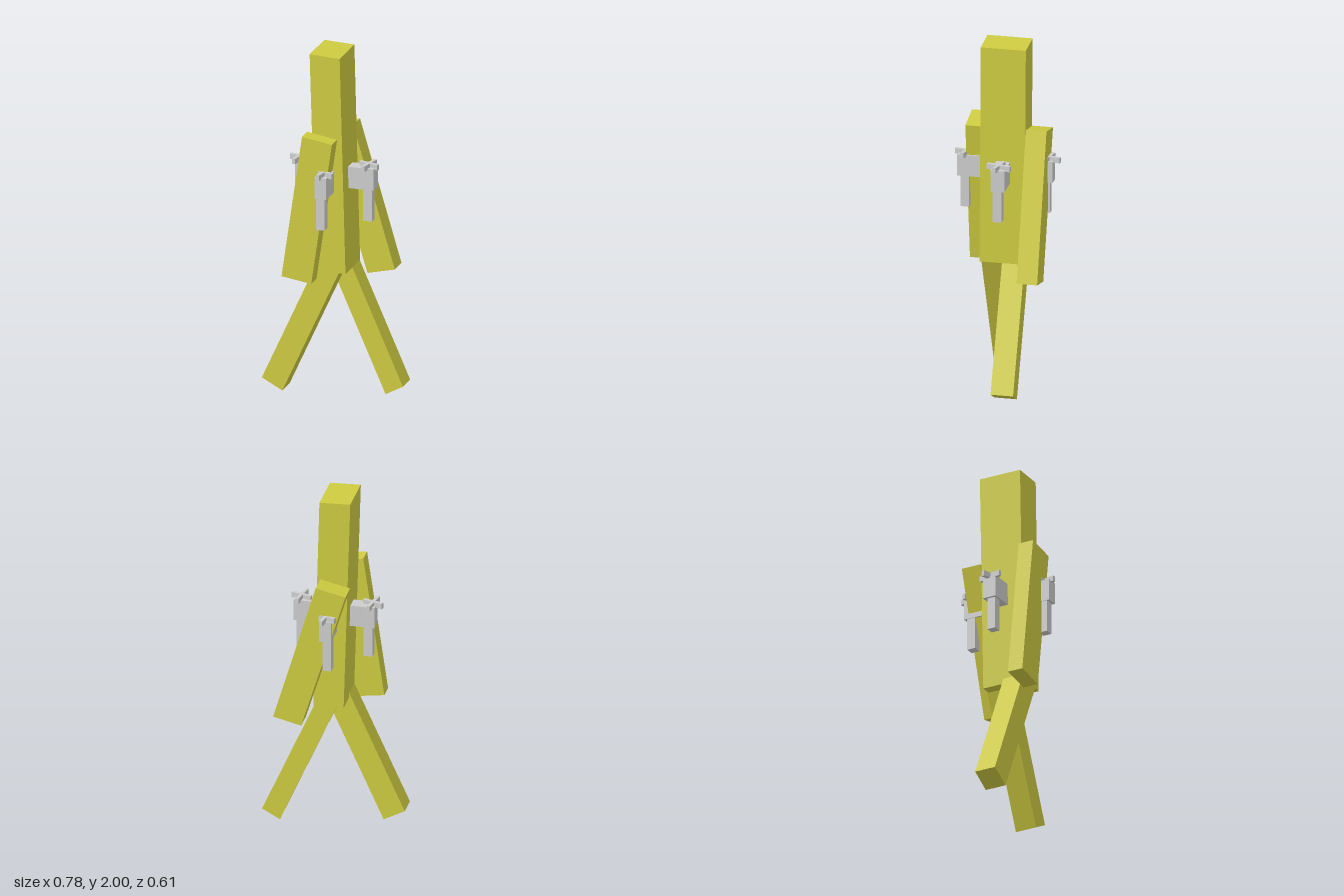
import * as THREE from 'three';

const yellow = new THREE.MeshStandardMaterial({ color: 0xcecb41 });
yellow.name = 'yellow';
const grey = new THREE.MeshStandardMaterial({ color: 0xcdcdcd });
grey.name = 'grey';

// Prism: an outline in the front plane, extruded from z0 to z1
function prism(name, corners, z0, z1) {
  const shape = new THREE.Shape(corners.map(([x, y]) => new THREE.Vector2(x, y)));
  const geometry = new THREE.ExtrudeGeometry(shape, { depth: z1 - z0, bevelEnabled: false });
  geometry.translate(0, 0, z0);
  const mesh = new THREE.Mesh(geometry, yellow);
  mesh.name = name;
  return mesh;
}

// Box given by its minimum and maximum corners
function box(name, [x0, y0, z0], [x1, y1, z1]) {
  const mesh = new THREE.Mesh(new THREE.BoxGeometry(x1 - x0, y1 - y0, z1 - z0), grey);
  mesh.position.set((x0 + x1) / 2, (y0 + y1) / 2, (z0 + z1) / 2);
  mesh.name = name;
  return mesh;
}

// Fitting: a block with a post below and a turned cross on top
function fitting(name, blockX, blockZ, postX, postZ, crossX, crossZ) {
  const group = new THREE.Group();
  group.name = name;
  group.add(box('block', [blockX[0], 1.205, blockZ[0]], [blockX[1], 1.33, blockZ[1]]));
  group.add(box('post', [postX, 1.018, postZ], [postX + 0.05, 1.21, postZ + 0.05]));
  const cross = new THREE.Group();
  cross.name = 'cross';
  const barX = box('crossBar', [-0.06, -0.016, -0.01], [0.06, 0.016, 0.01]);
  const barZ = box('longBar', [-0.01, -0.016, -0.07], [0.01, 0.016, 0.07]);
  barX.rotation.y = -0.28;
  barZ.rotation.y = -0.19;
  cross.add(barX, barZ);
  cross.position.set(crossX, 1.337, crossZ);
  group.add(cross);
  return group;
}

export function createModel() {
  const model = new THREE.Group();
  model.name = 'walkingFigure';

  // Tall body
  model.add(prism('body', [[-0.075, 0.735], [0.097, 0.73], [0.063, 1.992], [-0.113, 2]], -0.115, 0.141));

  // Striding legs, one in front of the other
  model.add(prism('rightLeg', [[-0.393, 0.068], [-0.273, 0.004], [0.056, 0.728], [-0.066, 0.788]], 0.014, 0.14));
  model.add(prism('leftLeg', [[0.289, 0.003], [0.39, 0.058], [0.072, 0.78], [-0.03, 0.726]], -0.114, 0.014));

  // Swinging arms on the front and back of the body
  model.add(prism('frontArm', [[-0.247, 0.71], [-0.073, 0.684], [0.048, 1.515], [-0.127, 1.543]], 0.14, 0.232));
  model.add(prism('backArm', [[0.14, 0.657], [0.3, 0.695], [0.057, 1.518], [-0.112, 1.48]], -0.231, -0.114));

  // Four fittings around the body
  model.add(fitting('leftFitting', [0.08, 0.23], [-0.03, 0.05], 0.167, -0.01, 0.192, 0.01));
  model.add(fitting('rightFitting', [-0.23, -0.08], [-0.03, 0.05], -0.215, -0.01, -0.214, 0.01));
  model.add(fitting('frontFitting', [-0.037, 0.031], [0.13, 0.282], -0.034, 0.217, 0, 0.232));
  model.add(fitting('backFitting', [-0.037, 0.031], [-0.26, -0.11], -0.034, -0.241, 0, -0.232));

  return model;
}
